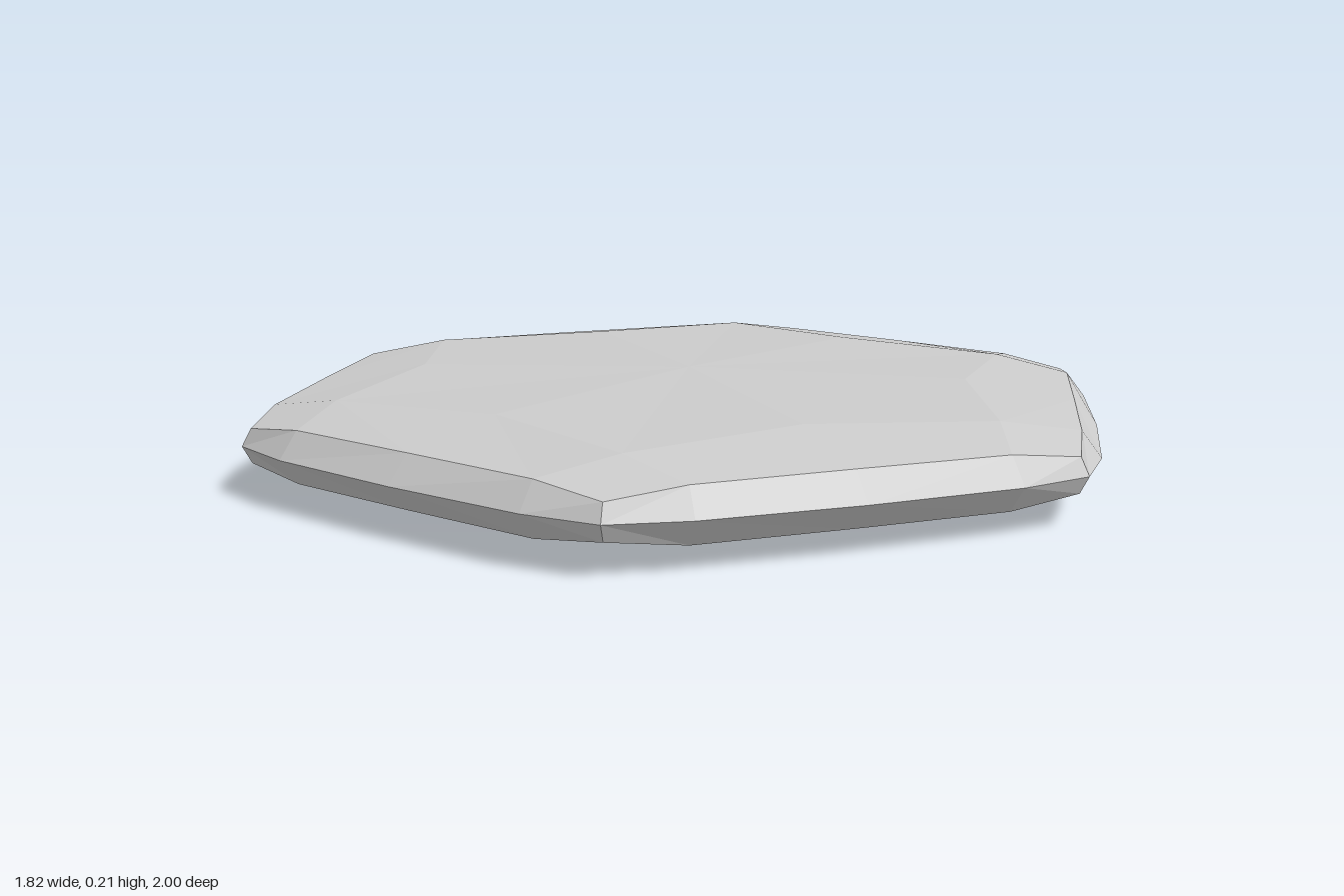
import * as THREE from 'three';

const MID = 0.105; // height of the widest outline

// One side of the hexagon: points at fractions of a 60 degree side.
// Each entry is [across the side, outward from the centre, height above the mid plane]
const outline = [[-0.5, 0.866, 0], [-0.335, 0.9, 0], [0, 0.91, 0], [0.335, 0.9, 0]];
const bevel = [[-0.49, 0.849, 0.037], [-0.33, 0.858, 0.056], [0, 0.859, 0.057], [0.33, 0.858, 0.056]];
const crown = [[-0.4, 0.693, 0.084], [0, 0.62, 0.094]];
const PEAK = 0.105;

// Repeat a side profile around the six sides
function ring(side) {
  const points = [];
  for (let k = 0; k < 6; k++) {
    const a = Math.PI / 6 + (k * Math.PI) / 3;
    for (const [s, r, h] of side) {
      points.push(new THREE.Vector3(
        r * Math.sin(a) + s * Math.cos(a), h, r * Math.cos(a) - s * Math.sin(a)));
    }
  }
  return points;
}

// Half of the cushion; sign +1 gives the top, -1 the mirrored bottom
function halfShell(sign) {
  const positions = [];
  const tri = (a, b, c) => {
    for (const p of sign > 0 ? [a, b, c] : [a, c, b]) positions.push(p.x, MID + sign * p.y, p.z);
  };
  const quad = (a, b, c, d) => { tri(a, b, c); tri(a, c, d); };

  const rim = ring(outline), edge = ring(bevel), inner = ring(crown);
  const peak = new THREE.Vector3(0, PEAK, 0);
  const at = (list, i) => list[(i + list.length) % list.length];

  // Bevelled rim
  for (let i = 0; i < 24; i++) quad(at(rim, i), at(rim, i + 1), at(edge, i + 1), at(edge, i));

  for (let k = 0; k < 6; k++) {
    const e = k * 4, n = k * 2;
    const corner = at(inner, n), middle = at(inner, n + 1), next = at(inner, n + 2);
    // Corner facet
    quad(corner, at(edge, e - 1), at(edge, e), at(edge, e + 1));
    // Two side facets
    quad(corner, at(edge, e + 1), at(edge, e + 2), middle);
    quad(middle, at(edge, e + 2), at(edge, e + 3), next);
    // Shallow crown
    tri(peak, corner, middle);
    tri(peak, middle, next);
  }

  const geometry = new THREE.BufferGeometry();
  geometry.setAttribute('position', new THREE.Float32BufferAttribute(positions, 3));
  geometry.computeVertexNormals();
  return geometry;
}

export function createModel() {
  const group = new THREE.Group();
  group.name = 'hexagonalStone';
  const material = new THREE.MeshStandardMaterial({ color: 0xcccccc, flatShading: true });
  for (const [name, sign] of [['topHalf', 1], ['bottomHalf', -1]]) {
    const mesh = new THREE.Mesh(halfShell(sign), material);
    mesh.name = name;
    group.add(mesh);
  }
  return group;
}
